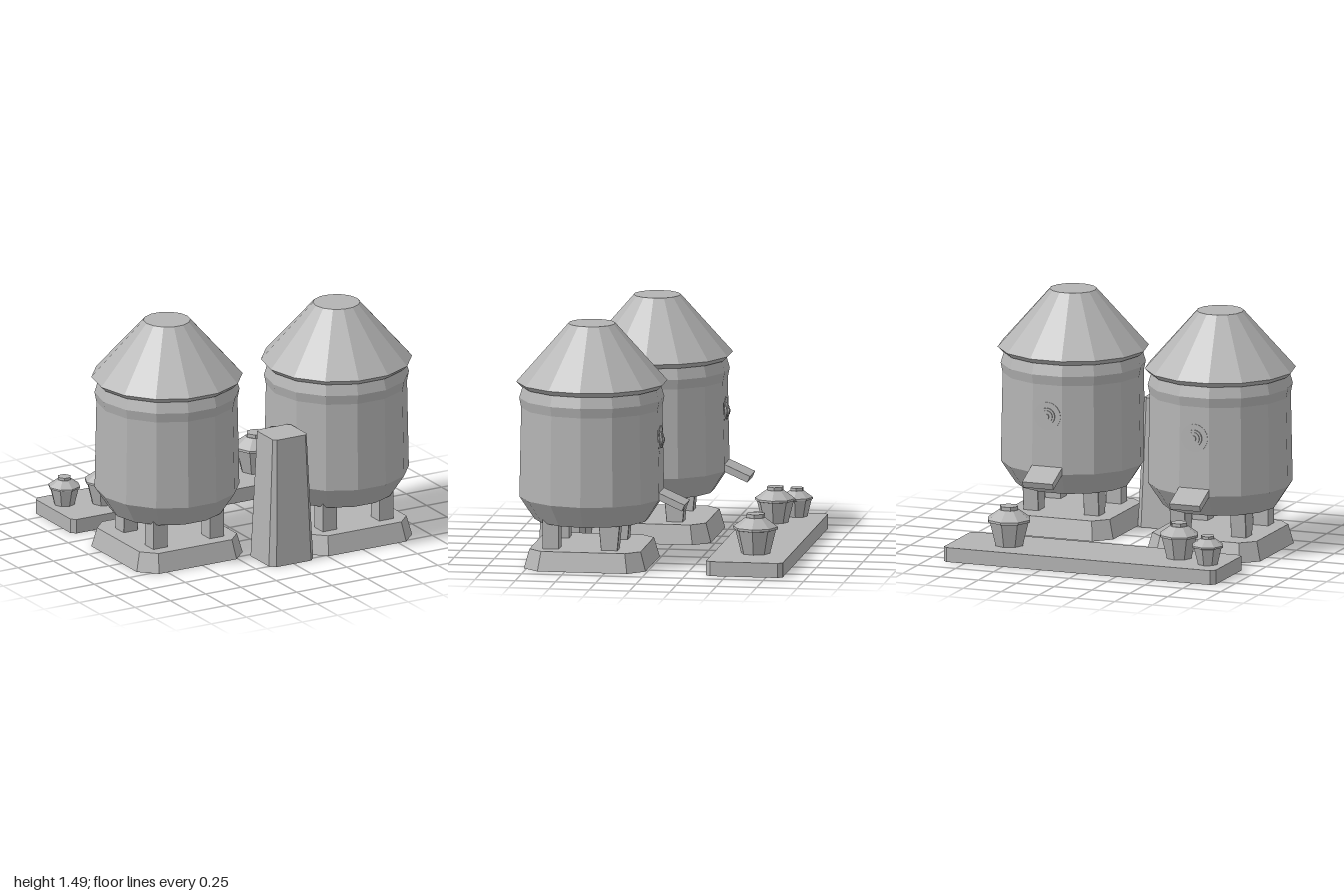
import * as THREE from 'three';

const grey = new THREE.MeshStandardMaterial({ color: 0xb4b4b4, flatShading: true, side: THREE.DoubleSide });
grey.name = 'plainGrey';

function add(parent, name, geometry, x = 0, y = 0, z = 0) {
  const mesh = new THREE.Mesh(geometry, grey);
  mesh.name = name;
  mesh.position.set(x, y, z);
  parent.add(mesh);
  return mesh;
}

// Chamfered rectangle outline, counter-clockwise seen from above
function outline(hx, hz, c, y) {
  return [
    [hx, hz - c], [hx, c - hz], [hx - c, -hz], [c - hx, -hz],
    [-hx, c - hz], [-hx, hz - c], [c - hx, hz], [hx - c, hz],
  ].map(([x, z]) => [x, y, z]);
}

// Tapered block with chamfered corners, open underneath
function taperedBlock(bottom, top, height) {
  const a = outline(...bottom, 0), b = outline(...top, height);
  const positions = [];
  for (let i = 0; i < 8; i++) {
    const j = (i + 1) % 8;
    positions.push(...a[i], ...a[j], ...b[j], ...a[i], ...b[j], ...b[i]);
    positions.push(0, height, 0, ...b[i], ...b[j]);
  }
  const geometry = new THREE.BufferGeometry();
  geometry.setAttribute('position', new THREE.Float32BufferAttribute(positions, 3));
  geometry.computeVertexNormals();
  return geometry;
}

// Faceted turned shape with corners on the x axis
function turned(points, sides) {
  return new THREE.LatheGeometry(points.map(p => new THREE.Vector2(...p)), sides).rotateY(Math.PI / 2);
}

// Round fitting of stepped discs facing -z
function dial(name) {
  const group = new THREE.Group();
  group.name = name;
  [[0.088, 0.004], [0.052, 0.012], [0.038, 0.018], [0.018, 0.026]].forEach(([r, depth], i) => {
    add(group, 'dialRing' + (i + 1), new THREE.CylinderGeometry(r, r, depth, 16).rotateX(Math.PI / 2), 0, 0, -depth / 2);
  });
  return group;
}

function tank(name, x, z) {
  const group = new THREE.Group();
  group.name = name;
  group.position.set(x, 0, z);
  add(group, 'tankBase', taperedBlock([0.375, 0.378, 0.1], [0.345, 0.345, 0.085], 0.12));
  add(group, 'tankBody', turned([[0, 0.275], [0.352, 0.275], [0.445, 0.415], [0.434, 0.97], [0.446, 1.03], [0.425, 1.1]], 14));
  add(group, 'tankRoof', turned([[0.42, 1.1], [0.435, 1.1], [0.465, 1.13], [0.145, 1.49], [0, 1.49]], 14));
  for (const side of [-1, 1]) {
    add(group, 'frontLeg', new THREE.BoxGeometry(0.1, 0.2, 0.1), side * 0.2, 0.21, 0.215);
    add(group, 'backLeg', taperedBlock([0.05, 0.05, 0.002], [0.05, 0.068, 0.002], 0.2), side * 0.2, 0.11, -0.148);
  }
  // Sloping chute at the back
  const chute = add(group, 'chute', new THREE.BoxGeometry(0.2, 0.042, 0.25), 0, 0.42, -0.47);
  chute.rotation.x = -0.42;
  const fitting = dial('tankDial');
  fitting.position.set(0, 0.775, -0.425);
  group.add(fitting);
  return group;
}

function jar(x, z, s) {
  const group = new THREE.Group();
  group.name = 'jar';
  group.position.set(x, 0.09, z);
  group.scale.setScalar(s);
  add(group, 'jarBody', turned([[0, 0], [0.09, 0], [0.128, 0.15]], 8));
  add(group, 'jarLid', turned([[0.12, 0.145], [0.139, 0.15], [0.139, 0.165], [0.06, 0.222], [0, 0.222]], 8));
  add(group, 'jarKnob', turned([[0.055, 0.215], [0.06, 0.225], [0.06, 0.245], [0, 0.245]], 6));
  return group;
}

export function createModel() {
  const model = new THREE.Group();
  model.name = 'storageTanks';
  model.add(tank('leftTank', 0.53, 0.39), tank('rightTank', -0.535, 0.155));

  // Tapering post between the tanks
  const post = new THREE.Group();
  post.name = 'post';
  post.position.set(0, 0, 0.637);
  add(post, 'postColumn', taperedBlock([0.157, 0.147, 0.035], [0.12, 0.115, 0.02], 0.81));
  const fitting = dial('postDial');
  fitting.position.set(0, 0.728, -0.117);
  fitting.rotation.x = 0.04;
  post.add(fitting);
  model.add(post);

  // Long slab with jars
  add(model, 'slab', taperedBlock([0.897, 0.238, 0.027], [0.897, 0.238, 0.027], 0.09), 0, 0, -0.613);
  model.add(jar(0.545, -0.63, 1), jar(-0.555, -0.575, 0.9), jar(-0.783, -0.673, 0.72));
  return model;
}
